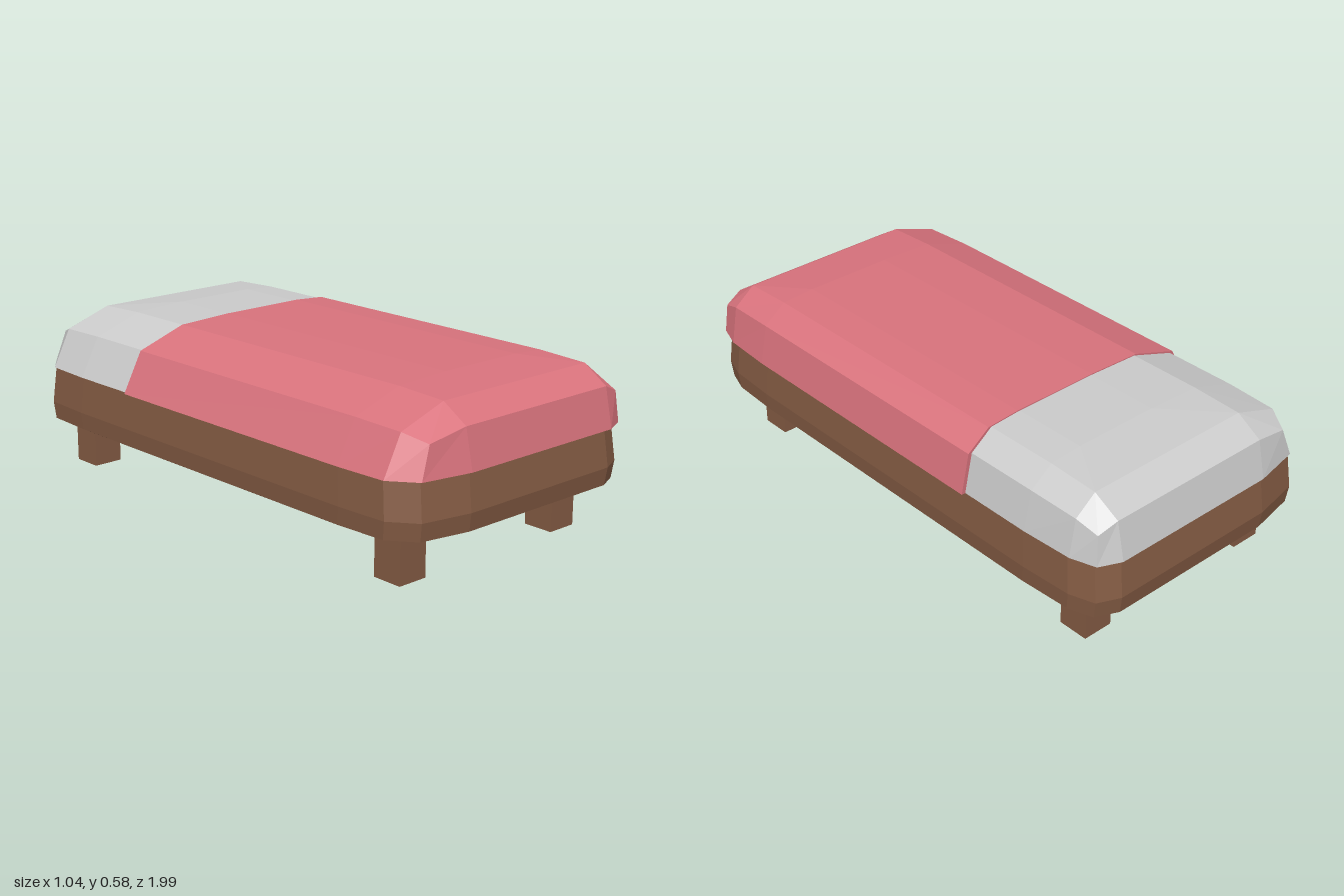
import * as THREE from 'three';

const mat = (color) => new THREE.MeshStandardMaterial({ color, flatShading: true, side: THREE.DoubleSide });

// Mirrors the front half of a ring to the back, giving a closed outline.
const fullRing = (front) => [...front, ...[...front].reverse().map(([x, y, z]) => [x, y, -z])];

// Extends the front half of a ring straight back to a cut at z.
const cutRing = (front, z) => {
  const a = front[0], b = front[front.length - 1];
  return [[a[0], a[1], z], ...front, [b[0], b[1], z]];
};

// Skins rings stacked from bottom to top, with optional caps.
function loft(rings, { closed = true, top = true, bottom = false } = {}) {
  const pos = [], n = rings[0].length;
  const tri = (a, b, c) => pos.push(...a, ...b, ...c);
  for (let r = 0; r < rings.length - 1; r++) {
    const lo = rings[r], hi = rings[r + 1];
    for (let i = 0; i < (closed ? n : n - 1); i++) {
      const j = (i + 1) % n;
      tri(lo[i], lo[j], hi[j]);
      tri(lo[i], hi[j], hi[i]);
    }
  }
  const cap = (ring, flip) => {
    const c = [0, 1, 2].map((k) => ring.reduce((s, p) => s + p[k], 0) / n);
    ring.forEach((p, i) => {
      const q = ring[(i + 1) % n];
      flip ? tri(q, p, c) : tri(p, q, c);
    });
  };
  if (top) cap(rings[rings.length - 1], false);
  if (bottom) cap(rings[0], true);
  const g = new THREE.BufferGeometry();
  g.setAttribute('position', new THREE.Float32BufferAttribute(pos, 3));
  g.computeVertexNormals();
  return g;
}

// Front half-rings of the soft top, running from the -x side around to the +x side.
const softRings = [
  [[-0.52, 0.37, 0.68], [-0.51, 0.37, 0.87], [-0.44, 0.37, 0.96], [-0.26, 0.37, 0.995],
    [0.40, 0.37, 0.995], [0.48, 0.37, 0.96], [0.51, 0.37, 0.87], [0.52, 0.37, 0.68]],
  [[-0.445, 0.512, 0.68], [-0.44, 0.506, 0.87], [-0.40, 0.478, 0.95], [-0.26, 0.508, 0.965],
    [0.40, 0.508, 0.965], [0.47, 0.478, 0.95], [0.485, 0.506, 0.87], [0.49, 0.512, 0.68]],
  [[-0.26, 0.575, 0.68], [-0.26, 0.567, 0.87], [-0.26, 0.567, 0.87], [-0.26, 0.567, 0.87],
    [0.405, 0.567, 0.87], [0.405, 0.567, 0.87], [0.405, 0.567, 0.87], [0.405, 0.575, 0.68]],
  [...Array(4).fill([-0.05, 0.583, 0.68]), ...Array(4).fill([0.28, 0.583, 0.68])],
];

export function createModel() {
  const group = new THREE.Group();
  const wood = mat(0x855c44), pink = mat(0xd9737d), grey = mat(0xcccccc);
  const add = (name, geometry, material) => {
    const mesh = new THREE.Mesh(geometry, material);
    mesh.name = name;
    group.add(mesh);
    return mesh;
  };

  // Wooden frame with slightly bulging sides and a beveled underside
  const frameRings = [[0.17, 0.95], [0.178, 0.978], [0.24, 0.987], [0.37, 0.97]].map(([y, s]) =>
    fullRing(softRings[0].map(([x, , z]) => [x * s, y, z * (s + 0.01)])));
  add('frame', loft(frameRings, { bottom: true }), wood);

  // Mattress, a little smaller than the blanket
  const shrink = ([x, y, z]) => [x * 0.972, 0.37 + (y - 0.37) * 0.985, z * 0.99];
  add('mattress', loft(softRings.map((r) => fullRing(r.map(shrink)))), grey);

  // Blanket with a turned-in hem
  const cutZ = -0.4;
  const hem = softRings[0].map(([x, y, z]) => [x * 0.96, y, z * 0.97]);
  const blanketRings = [hem, ...softRings].map((r) => cutRing(r, cutZ));
  add('blanket', loft(blanketRings, { closed: false }), pink);

  // Upright edge of the blanket at the cut
  const section = [
    ...blanketRings.slice(1).map((r) => r[0]),
    ...blanketRings.slice(1).reverse().map((r) => r[r.length - 1]),
  ].map(([x, y]) => new THREE.Vector2(x, y));
  add('blanketEdge', new THREE.ShapeGeometry(new THREE.Shape(section)), pink).position.z = cutZ;

  // Four square legs
  for (const x of [-0.355, 0.352]) {
    for (const z of [0.79, -0.8]) {
      add('leg', new THREE.BoxGeometry(0.112, 0.18, 0.112), wood).position.set(x, 0.09, z);
    }
  }
  return group;
}
